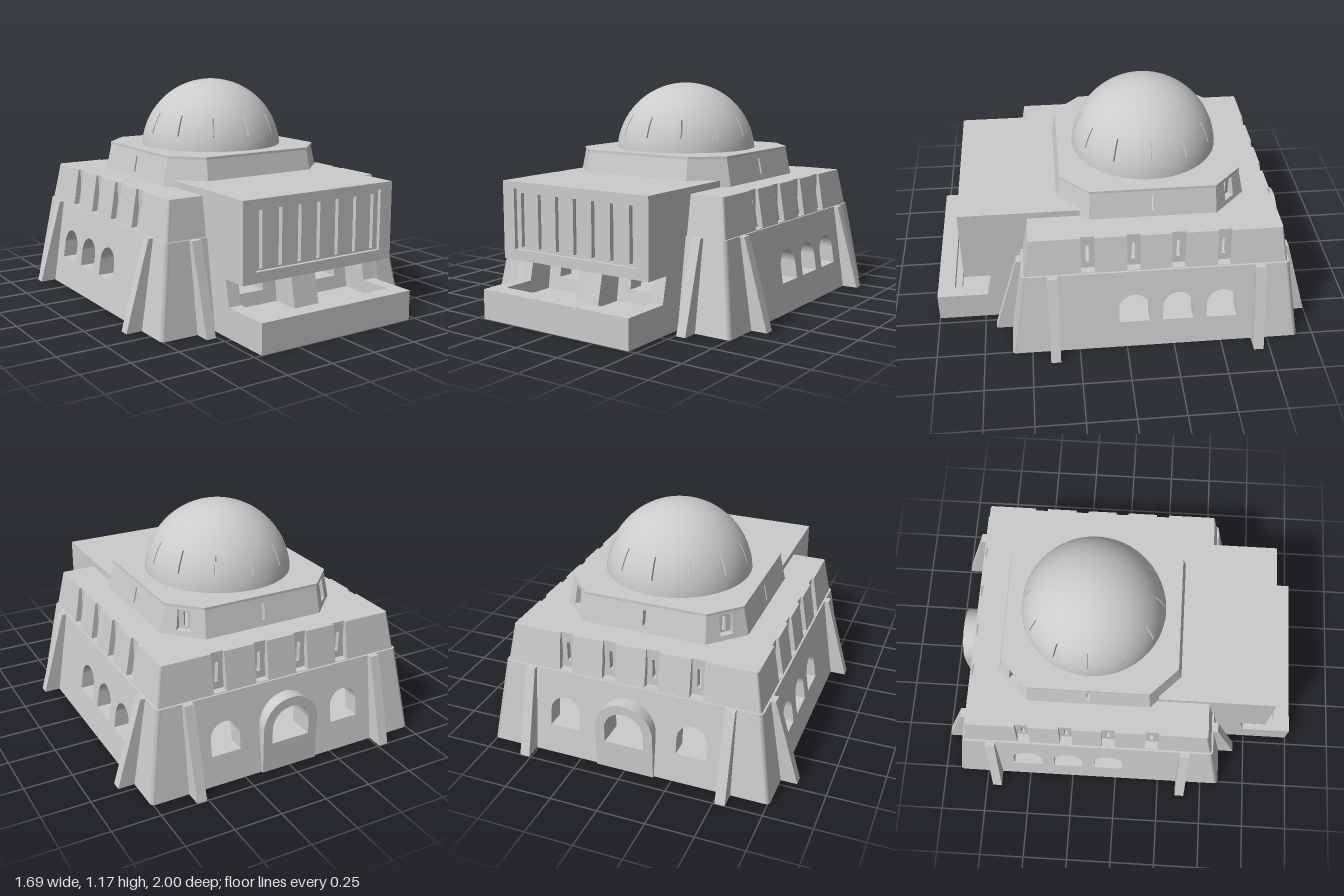
import * as THREE from 'three';

const material = new THREE.MeshStandardMaterial({ color: 0xcccccc, side: THREE.DoubleSide });
const CZ = -0.155; // centre of the square hall

function add(parent, name, geometry, x = 0, y = 0, z = 0) {
  const mesh = new THREE.Mesh(geometry, material);
  mesh.name = name;
  mesh.position.set(x, y, z);
  parent.add(mesh);
  return mesh;
}

// Box given by its limits
function block(parent, name, x0, x1, y0, y1, z0, z1) {
  return add(parent, name, new THREE.BoxGeometry(x1 - x0, y1 - y0, z1 - z0),
    (x0 + x1) / 2, (y0 + y1) / 2, (z0 + z1) / 2);
}

const poly = (pts) => new THREE.Shape(pts.map(([x, y]) => new THREE.Vector2(x, y)));
const rect = (x0, x1, y0, y1) => poly([[x0, y0], [x1, y0], [x1, y1], [x0, y1]]);
const slit = (x, y0, y1, w) => rect(x - w / 2, x + w / 2, y0, y1);

function arch(x, y0, spring, r) {
  const s = new THREE.Shape();
  s.moveTo(x - r, y0);
  s.lineTo(x + r, y0);
  s.lineTo(x + r, spring);
  s.absarc(x, spring, r, 0, Math.PI, false);
  s.closePath();
  return s;
}

function extrude(shape, depth, holes = []) {
  shape.holes.push(...holes);
  return new THREE.ExtrudeGeometry(shape, { depth, bevelEnabled: false, curveSegments: 14 });
}

// Leaning wall: half widths w and distances d at bottom and top,
// window holes, and niches cut down from the top edge
function leaningWall(y0, y1, w0, w1, d0, d1, t, taper, holes, niches = []) {
  const outline = [[-w0, y0], [w0, y0], [w1, y1]];
  for (const x of niches) {
    outline.push([x + 0.035, y1], [x + 0.035, y0 + 0.003], [x - 0.035, y0 + 0.003], [x - 0.035, y1]);
  }
  const geo = extrude(poly([...outline, [-w1, y1]]), t, holes);
  const p = geo.attributes.position;
  for (let i = 0; i < p.count; i++) {
    const x = p.getX(i), y = p.getY(i), z = p.getZ(i);
    const k = (y - y0) / (y1 - y0);
    const w = w0 + (w1 - w0) * k;
    // Mitre the inner ends
    if (Math.abs(x) > w - 1e-4) p.setX(i, Math.sign(x) * (w - taper * (1 - z / t)));
    p.setZ(i, d0 + (d1 - d0) * k - t + z);
  }
  geo.computeVertexNormals();
  return geo;
}

// Rounded corner of a leaning tier
function cornerPost(parent, y0, y1, h0, h1, c) {
  const geo = new THREE.CylinderGeometry(c, c, y1 - y0, 16);
  const p = geo.attributes.position;
  for (let i = 0; i < p.count; i++) {
    const k = p.getY(i) / (y1 - y0) + 0.5;
    const off = h0 + (h1 - h0) * k - c;
    p.setX(i, p.getX(i) + off);
    p.setZ(i, p.getZ(i) + off);
  }
  add(parent, 'cornerPost', geo, 0, (y0 + y1) / 2, 0);
}

function side(parent, name, angle) {
  const g = new THREE.Group();
  g.name = name;
  g.rotation.y = angle;
  parent.add(g);
  return g;
}

function buildHall(hall) {
  const C = 0.02;
  const window = (x) => arch(x, 0.155, 0.24, 0.08);
  const openings = [
    [window(-0.235), window(0.235)],
    [window(-0.115), window(0.115), window(0.345)],
    [window(-0.345), window(0.345), arch(0, 0.155, 0.235, 0.105)],
    [window(-0.345), window(-0.115), window(0.115)],
  ];
  const bays = [0.35, 0.115, -0.115, -0.35];
  ['frontSide', 'leftSide', 'backSide', 'rightSide'].forEach((name, i) => {
    const g = side(hall, name, i * Math.PI / 2);
    add(g, 'lowerWall', leaningWall(0, 0.46, 0.76 - C, 0.69 - C, 0.76, 0.69, 0.09, 0.09 - C, openings[i]));
    cornerPost(g, 0, 0.46, 0.76, 0.69, C);
    // Upper tier with niches and upright slit panels behind them
    add(g, 'upperWall', leaningWall(0.46, 0.66, 0.67, 0.637, 0.68, 0.647, 0.03, 0.02, [], bays));
    cornerPost(g, 0.46, 0.66, 0.68, 0.647, 0.01);
    add(g, 'slitPanel', extrude(rect(-0.58, 0.58, 0.46, 0.65), 0.035, bays.map((x) => slit(x, 0.5, 0.605, 0.018))), 0, 0, 0.6);
    // Sloping buttresses
    for (const x of [-0.535, 0.535]) {
      const b = add(g, 'buttress', extrude(poly([[0.66, 0], [0.845, 0], [0.715, 0.46], [0.62, 0.46]]), 0.052), x + 0.026, 0, 0);
      b.rotation.y = -Math.PI / 2;
    }
    if (i === 2) {
      add(g, 'archedPortal', extrude(arch(0, 0, 0.235, 0.155), 0.14, [arch(0, 0.155, 0.235, 0.105)]), 0, 0, 0.63);
    }
  });
  // Raised floor at sill height, open underneath
  block(hall, 'hallFloor', -0.66, 0.66, 0.14, 0.155, -0.66, 0.66);
  block(hall, 'tierFloor', -0.685, 0.685, 0.448, 0.46, -0.685, 0.685);
  block(hall, 'hallRoof', -0.635, 0.635, 0.645, 0.66, -0.635, 0.635);
}

function buildDrum(hall) {
  for (let i = 0; i < 4; i++) {
    const g = side(hall, 'drumSide', i * Math.PI / 2);
    add(g, 'drumWall', leaningWall(0.66, 0.805, 0.33, 0.322, 0.497, 0.467, 0.04, 0.0166,
      i === 0 ? [] : [slit(0, 0.69, 0.775, 0.014)]));
    const c = side(hall, 'drumCorner', (i + 0.5) * Math.PI / 2);
    const back = i === 1 || i === 2;
    add(c, 'drumCornerWall', leaningWall(0.66, 0.805, 0.118, 0.1025, 0.585, 0.558, 0.04, 0.0166,
      back ? [slit(0, 0.685, 0.79, 0.07)] : []));
    if (back) {
      add(c, 'drumNichePanel', extrude(rect(-0.06, 0.06, 0.67, 0.795), 0.02, [slit(0, 0.695, 0.775, 0.018)]), 0, 0, 0.525);
    }
  }
  // Octagonal top with a round opening under the dome
  const a = 0.47, b = 0.325;
  const hole = new THREE.Path();
  hole.absarc(0, 0, 0.35, 0, Math.PI * 2, true);
  const top = add(hall, 'drumTop', extrude(
    poly([[a, -b], [a, b], [b, a], [-b, a], [-a, b], [-a, -b], [-b, -a], [b, -a]]), 0.013, [hole]), 0, 0.815, 0);
  top.rotation.x = Math.PI / 2;
}

function buildDome(hall) {
  const R = 0.39, inner = 0.36, cy = 0.785;
  const theta = (y) => Math.acos((y - cy) / R);
  const hi = theta(1.0), lo = theta(0.89);
  const step = Math.PI / 6, gap = 0.022;
  // Outer and inner shell, each with twelve strips that leave narrow slots
  for (const r of [R, inner]) {
    const band = (name, t0, t1, rows, p0 = 0, pl = Math.PI * 2, cols = 48) =>
      add(hall, name, new THREE.SphereGeometry(r, cols, rows, p0, pl, t0, t1 - t0), 0, cy, 0);
    band('domeCap', 0, hi, 14);
    band('domeSkirt', lo, theta(0.805), 4);
    for (let i = 0; i < 12; i++) band('domeStrip', hi, lo, 5, i * step + gap / 2, step - gap, 4);
  }
  // Slot cheeks joining the shells
  for (let i = 0; i < 12; i++) {
    for (const s of [-1, 1]) {
      const cheek = add(hall, 'slotCheek', new THREE.RingGeometry(inner, R, 5, 1, Math.PI / 2 - lo, lo - hi), 0, cy, 0);
      cheek.rotation.y = Math.PI + i * step + s * gap / 2;
    }
  }
}

function buildPorch(root) {
  // Hollow upper box
  for (const s of [-1, 1]) {
    block(root, 'porchBoxSide', s * 0.445 - 0.015, s * 0.445 + 0.015, 0.29, 0.695, 0.36, 0.82);
  }
  block(root, 'porchBoxRoof', -0.46, 0.46, 0.66, 0.695, 0.22, 0.82);
  block(root, 'porchBoxFloor', -0.46, 0.46, 0.29, 0.345, 0.5, 0.82);
  add(root, 'porchFrame', extrude(rect(-0.46, 0.46, 0.29, 0.695), 0.03, [rect(-0.385, 0.385, 0.345, 0.66)]), 0, 0, 0.815);
  const slits = [-3, -2, -1, 0, 1, 2, 3].map((i) => slit(i * 0.115, 0.355, 0.637, 0.02));
  add(root, 'porchGrille', extrude(rect(-0.44, 0.44, 0.32, 0.68), 0.03, slits), 0, 0, 0.795);

  // Supports with sloping fronts
  const support = (x0, x1, y0) => {
    const m = add(root, 'porchSupport', extrude(poly([[0.5, y0], [0.73 + (0.155 - y0) * 0.22, y0], [0.70, 0.29], [0.5, 0.29]]), x1 - x0), x1, 0, 0);
    m.rotation.y = -Math.PI / 2;
  };
  support(-0.46, -0.39, 0.15);
  support(0.39, 0.46, 0.15);
  support(-0.075, 0.075, 0.08);

  // Sunken forecourt with a raised rim and a step, open underneath
  const rim = add(root, 'forecourtRim', extrude(rect(-0.46, 0.46, 0.5, 1), 0.155, [rect(-0.39, 0.39, 0.53, 0.91)]), 0, 0.155, 0);
  rim.rotation.x = Math.PI / 2;
  block(root, 'forecourtFloor', -0.4, 0.4, 0.07, 0.085, 0.52, 0.92);
  block(root, 'forecourtStep', -0.39, 0.39, 0.075, 0.115, 0.875, 0.915);
}

export function createModel() {
  const root = new THREE.Group();
  root.name = 'domedHall';
  const hall = new THREE.Group();
  hall.name = 'hall';
  hall.position.z = CZ;
  root.add(hall);
  buildHall(hall);
  buildDrum(hall);
  buildDome(hall);
  buildPorch(root);
  return root;
}
